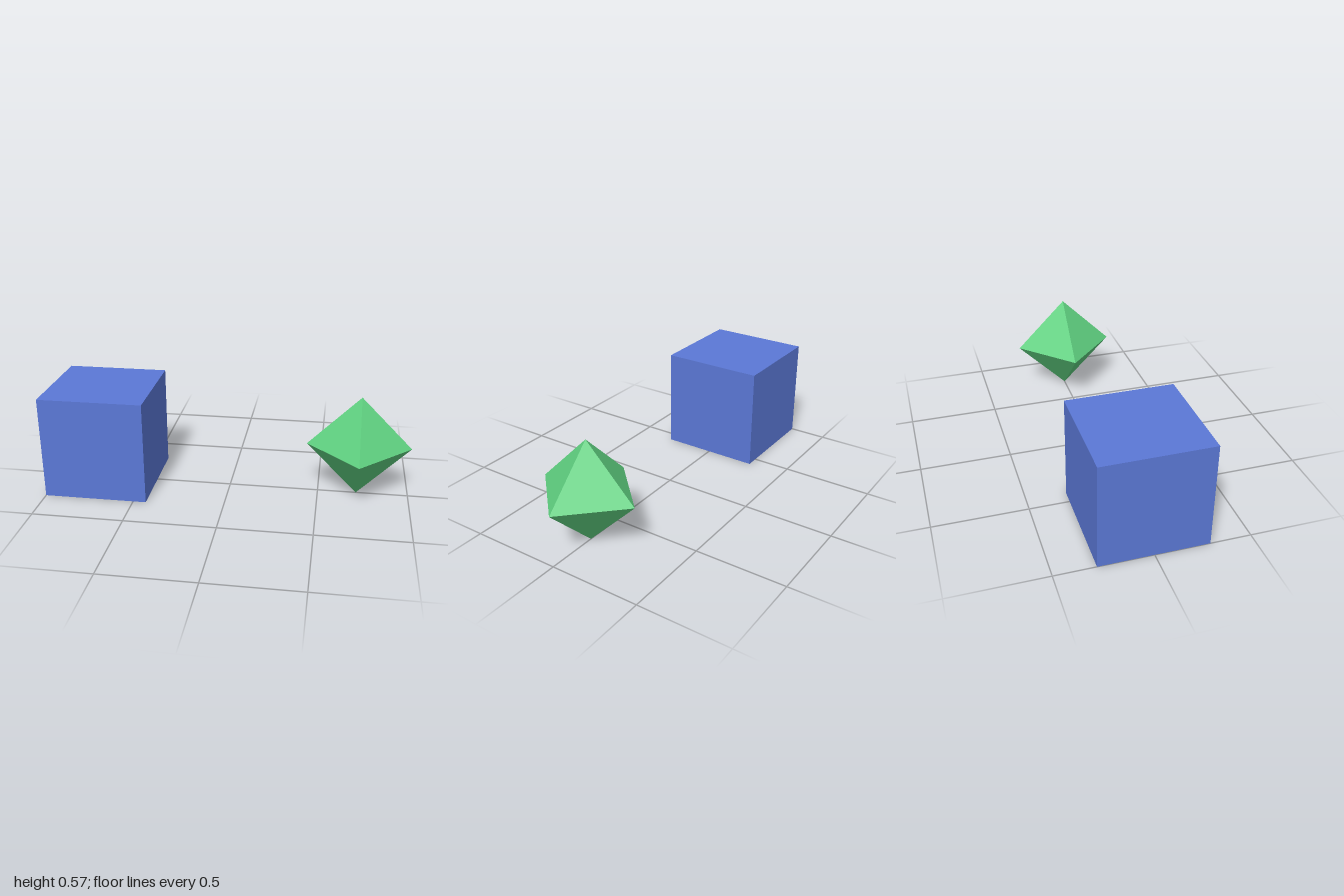
import * as THREE from 'three';

const R = 2 / 7;        // half height of both solids
const OFFSET = 5 / 7;   // distance of each solid from the centre

export function createModel() {
  const model = new THREE.Group();

  const add = (name, geometry, color, x) => {
    const material = new THREE.MeshStandardMaterial({ color, flatShading: true });
    const mesh = new THREE.Mesh(geometry, material);
    mesh.name = name;
    mesh.position.set(x, R, 0);
    model.add(mesh);
  };

  // Blue cube, with a red cube nested a hair inside it
  add('blueCube', new THREE.BoxGeometry(2 * R, 2 * R, 2 * R), 0x5b78d6, -OFFSET);
  const inner = 2 * R - 0.002;
  add('redCube', new THREE.BoxGeometry(inner, inner, inner), 0xd65b5b, -OFFSET);

  // Green octahedron standing on its point
  add('greenOctahedron', new THREE.OctahedronGeometry(R), 0x5fd080, OFFSET);

  return model;
}
